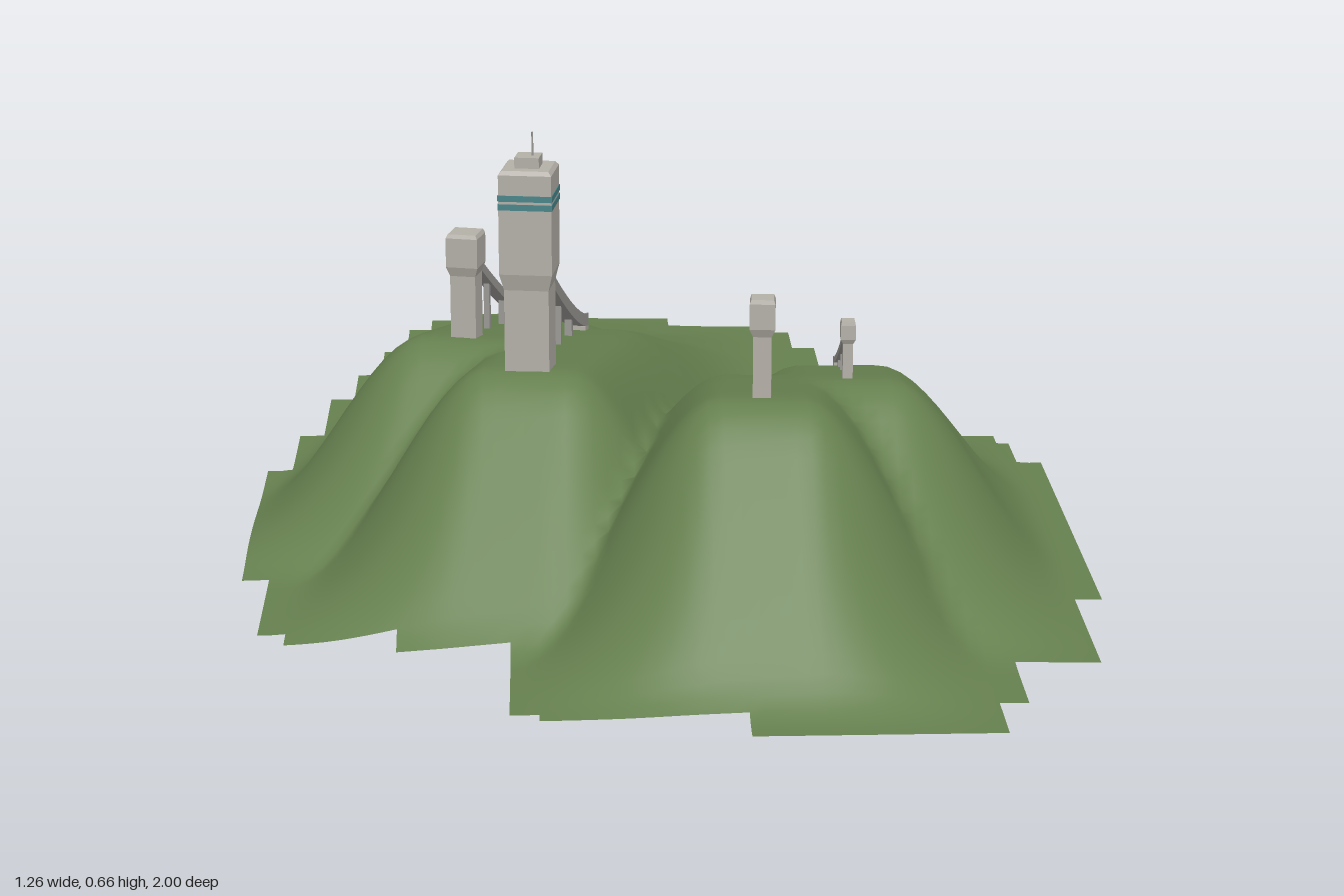
import * as THREE from 'three';

const mat = (color, extra = {}) => new THREE.MeshStandardMaterial({ color, ...extra });
const grass = mat(0x66804f, { side: THREE.DoubleSide });
const concrete = mat(0xb4b0a8);
const steel = mat(0x9c9a96);
const glass = mat(0x4a8488);
const { smoothstep, clamp } = THREE.MathUtils;

// Each hill: tower foot, track end, ridge profile [distance behind tower, height], sizes
const hills = [
  { name: 'largeHill', from: [-0.2, 0.325], to: [-0.12, -0.2], shaft: 0.066, head: 0.078, neck: 0.43, headY: 0.455, top: 0.61,
    track: 0.026, y0: 0.49, y1: 0.23,
    ridge: [[-0.39, 0], [-0.06, 0.31], [0, 0.305], [0.2, 0.27], [0.4, 0.235], [0.54, 0.205], [0.7, 0.155], [0.83, 0.11], [1, 0.05], [1.15, 0.015], [1.25, 0]] },
  { name: 'normalHill', from: [-0.3, 0.06], to: [-0.2, -0.34], shaft: 0.04, head: 0.05, neck: 0.375, headY: 0.39, top: 0.442,
    track: 0.02, y0: 0.415, y1: 0.195,
    ridge: [[-0.38, 0], [-0.06, 0.28], [0, 0.275], [0.2, 0.235], [0.42, 0.185], [0.6, 0.115], [0.75, 0.06], [0.9, 0.02], [1.05, 0]] },
  { name: 'mediumHill', from: [0.128, 0.56], to: [0.155, 0.23], shaft: 0.026, head: 0.036, neck: 0.42, headY: 0.432, top: 0.475,
    track: 0.017, y0: 0.455, y1: 0.27,
    ridge: [[-0.38, 0], [-0.06, 0.335], [0, 0.33], [0.2, 0.29], [0.33, 0.26], [0.45, 0.2], [0.63, 0.09], [0.77, 0.005], [0.8, 0]] },
  { name: 'smallHill', from: [0.27, 0.33], to: [0.275, 0.1], shaft: 0.015, head: 0.022, neck: 0.338, headY: 0.345, top: 0.373,
    track: 0.012, y0: 0.36, y1: 0.245,
    ridge: [[-0.42, 0], [-0.06, 0.29], [0, 0.285], [0.23, 0.235], [0.4, 0.09], [0.54, 0.005], [0.58, 0]] },
];

// Ground outline: [far z of strip, x at that side], stepping from back to front
const leftEdge = [[-0.96, -0.35], [-0.9, -0.39], [-0.76, -0.43], [-0.62, -0.47], [-0.48, -0.51], [-0.28, -0.55], [-0.1, -0.59],
  [0.4, -0.63], [0.62, -0.59], [0.66, -0.55], [0.7, -0.39], [0.92, -0.23], [0.95, -0.19], [1, 0.09]];
const rightEdge = [[-0.96, -0.17], [-0.9, 0.05], [-0.86, 0.23], [-0.76, 0.27], [-0.58, 0.31], [-0.24, 0.27], [-0.2, 0.57],
  [-0.1, 0.59], [0.52, 0.63], [0.76, 0.59], [0.9, 0.47], [1, 0.43]];
const edgeAt = (edge, z) => edge.find(([end]) => z < end)[1];

function sample(points, u) {
  const last = points.length - 1;
  if (u <= points[0][0] || u >= points[last][0]) return 0;
  const i = points.findIndex(p => p[0] > u);
  const [a, b] = [points[i - 1], points[i]];
  return a[1] + (b[1] - a[1]) * (u - a[0]) / (b[0] - a[0]);
}

// Ridge height along the hill axis times a rounded cross-section
function hillHeight({ from, to, ridge }, x, z) {
  const dx = to[0] - from[0], dz = to[1] - from[1], len = Math.hypot(dx, dz);
  const px = x - from[0], pz = z - from[1];
  const along = (px * dx + pz * dz) / len;
  const across = Math.abs(px * dz - pz * dx) / len;
  let h = 0;
  for (let k = -2; k <= 2; k++) h += sample(ridge, along + k * 0.015) / 5;
  return h * (1 - smoothstep(across, 0.06, 0.335));
}

function makeGround() {
  const step = 0.02, nx = 63, nz = 100, x0 = -0.63;
  const pos = [], index = [];
  for (let j = 0; j <= nz; j++) for (let i = 0; i <= nx; i++) {
    const x = x0 + i * step, z = -1 + j * step;
    pos.push(x, Math.max(...hills.map(h => hillHeight(h, x, z))), z);
  }
  for (let j = 0; j < nz; j++) for (let i = 0; i < nx; i++) {
    const x = x0 + (i + 0.5) * step, z = -1 + (j + 0.5) * step;
    if (x < edgeAt(leftEdge, z) || x > edgeAt(rightEdge, z)) continue;
    const a = j * (nx + 1) + i, b = a + 1, c = a + nx + 1, d = c + 1;
    index.push(a, c, b, b, c, d);
  }
  const g = new THREE.BufferGeometry();
  g.setAttribute('position', new THREE.Float32BufferAttribute(pos, 3));
  g.setIndex(index);
  g.computeVertexNormals();
  const mesh = new THREE.Mesh(g, grass);
  mesh.name = 'ground';
  return mesh;
}

function add(group, name, geometry, material, x = 0, y = 0, z = 0) {
  const mesh = new THREE.Mesh(geometry, material);
  mesh.name = name;
  mesh.position.set(x, y, z);
  group.add(mesh);
  return mesh;
}

// Upright box from y0 to y1
const block = (group, name, w, d, y0, y1, material, z = 0) =>
  add(group, name, new THREE.BoxGeometry(w, y1 - y0, d), material, 0, (y0 + y1) / 2, z);

// Square frustum from width w0 at y0 to w1 at y1
function frustum(group, name, w0, w1, y0, y1, material) {
  const g = new THREE.CylinderGeometry(w1 * Math.SQRT1_2, w0 * Math.SQRT1_2, y1 - y0, 4).toNonIndexed();
  g.rotateY(Math.PI / 4);
  g.computeVertexNormals();
  return add(group, name, g, material, 0, (y0 + y1) / 2);
}

function makeJump(h) {
  const group = new THREE.Group();
  group.name = h.name;
  const dx = h.to[0] - h.from[0], dz = h.to[1] - h.from[1], len = Math.hypot(dx, dz);
  group.position.set(h.from[0], 0, h.from[1]);
  group.rotation.y = Math.atan2(-dx, -dz);

  // Tower
  block(group, 'towerShaft', h.shaft, h.shaft, 0, h.neck, concrete);
  frustum(group, 'towerNeck', h.shaft, h.head, h.neck, h.headY, concrete);
  block(group, 'towerHead', h.head, h.head, h.headY, h.top - 0.006, concrete);
  frustum(group, 'towerRoof', h.head, h.head * 0.88, h.top - 0.006, h.top, concrete);

  // Inrun track, steep at the tower and levelling out at the take-off
  const trackY = s => h.y1 + (h.y0 - h.y1) * Math.pow(clamp(1 - s, 0, 1), 1.25);
  const thick = h.track * 0.65;
  const g = new THREE.BoxGeometry(h.track, thick, len, 1, 1, 16);
  const p = g.attributes.position;
  for (let i = 0; i < p.count; i++) p.setY(i, p.getY(i) + trackY(0.5 - p.getZ(i) / len) - thick / 2);
  g.computeVertexNormals();
  add(group, 'inrunTrack', g, steel, 0, 0, -len / 2);
  for (const side of [-1, 1]) {
    const rail = new THREE.BoxGeometry(h.track * 0.1, thick * 0.5, len, 1, 1, 16);
    const q = rail.attributes.position;
    for (let i = 0; i < q.count; i++) q.setY(i, q.getY(i) + trackY(0.5 - q.getZ(i) / len));
    rail.computeVertexNormals();
    add(group, 'trackRail', rail, steel, side * h.track * 0.45, 0, -len / 2);
  }

  // Track supports and the heavier take-off pier
  for (const s of [0.3, 0.52, 0.74])
    block(group, 'trackSupport', h.track * 0.45, h.track * 0.45, 0, trackY(s) - thick / 2, steel, -s * len);
  block(group, 'takeOffPier', h.track, h.track * 1.4, 0, h.y1 - thick / 2, concrete, -len + h.track * 0.7);
  return group;
}

export function createModel() {
  const model = new THREE.Group();
  model.name = 'jumpingHills';
  model.add(makeGround());
  const jumps = hills.map(makeJump);
  model.add(...jumps);

  // Window bands, roof room and mast of the tallest tower
  const big = jumps[0];
  for (const y of [0.552, 0.565]) block(big, 'windowBand', 0.08, 0.08, y, y + 0.009, glass);
  block(big, 'roofRoom', 0.036, 0.036, 0.61, 0.626, concrete);
  add(big, 'mast', new THREE.CylinderGeometry(0.0015, 0.0015, 0.036, 6), steel, 0.006, 0.643, 0);
  return model;
}
